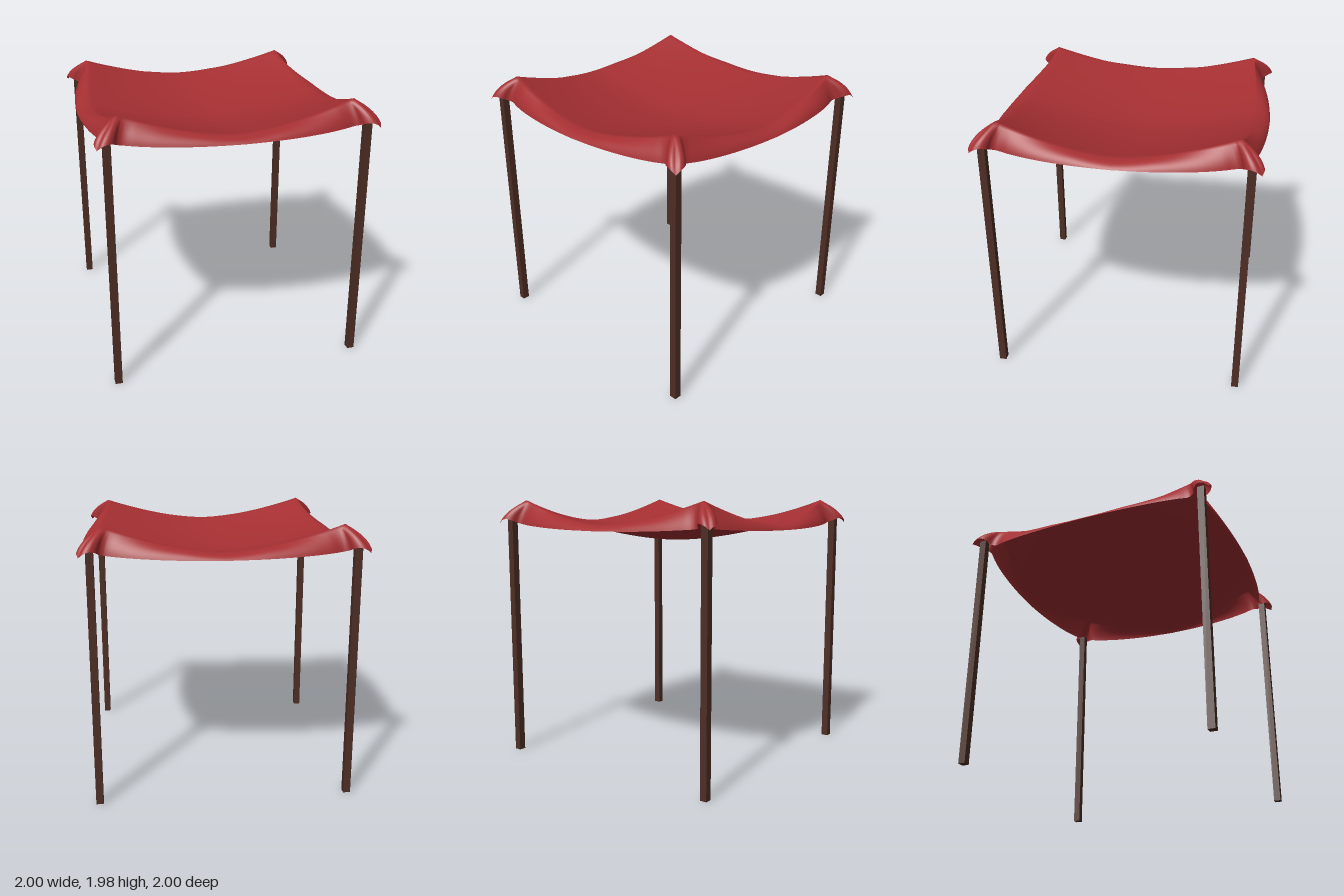
import * as THREE from 'three';

const clothMat = new THREE.MeshStandardMaterial({ color: 0xa52f32, side: THREE.DoubleSide });
clothMat.name = 'red cloth';
const woodMat = new THREE.MeshStandardMaterial({ color: 0x4d2e24 });
woodMat.name = 'dark wood';

// Hem from the middle of a side to the corner tip: along, height, outward
const hem = new THREE.CatmullRomCurve3([
  [0, 1.77, 1.0], [0.22, 1.772, 0.992], [0.42, 1.777, 0.975], [0.6, 1.785, 0.95],
  [0.73, 1.793, 0.922], [0.81, 1.80, 0.9], [0.845, 1.81, 0.915], [0.865, 1.828, 0.955],
  [0.9, 1.838, 0.98], [0.945, 1.825, 0.988], [0.976, 1.80, 0.976],
].map(p => new THREE.Vector3(...p)));
// Matching places along the ridge, 1 being the corner peak
const ridgeAt = [0, 0.25, 0.47, 0.67, 0.82, 0.91, 0.945, 0.965, 0.98, 0.99, 1];

// Sagging top sheet over a, b in -1..1
function sheet(a, b) {
  const p = 1.65, A = Math.abs(a) ** p, B = Math.abs(b) ** p;
  return new THREE.Vector3(
    a * (0.83 + 0.05 * (1 - b * b)),
    1.67 + 0.14 * (A + B) + 0.03 * A * B,
    b * (0.83 + 0.05 * (1 - a * a)));
}

function makeCloth() {
  const perSide = 80, inner = 24, skirt = 10, around = perSide * 4;
  const pos = [0, 1.67, 0], idx = [];
  const up = new THREE.Vector3(0, 1, 0);
  for (let r = 1; r <= inner + skirt; r++) {
    for (let i = 0; i < around; i++) {
      const side = Math.floor(i / perSide);
      const tau = (i % perSide) / perSide * 2 - 1;
      const t = Math.abs(tau), sign = Math.sign(tau) || 1;
      const k = Math.min(Math.floor(t * 10), 9);
      const u = sign * THREE.MathUtils.lerp(ridgeAt[k], ridgeAt[k + 1], t * 10 - k);
      let p;
      if (r <= inner) {
        const s = r / inner;
        p = sheet(u * s, s);
      } else {
        // rounded skirt folding from the ridge down to the hem
        const top = sheet(u, 1), end = hem.getPoint(t);
        end.x *= sign;
        const mid = top.clone().lerp(end, 0.8);
        mid.y = Math.min(top.y, end.y + 0.05 + 0.2 * (top.y - end.y));
        p = new THREE.QuadraticBezierCurve3(top, mid, end).getPoint((r - inner) / skirt);
      }
      p.applyAxisAngle(up, side * Math.PI / 2);
      pos.push(p.x, p.y, p.z);
    }
  }
  for (let i = 0; i < around; i++) {
    const j = (i + 1) % around;
    idx.push(0, 1 + i, 1 + j);
    for (let r = 0; r < inner + skirt - 1; r++) {
      const a = 1 + r * around, b = a + around;
      idx.push(a + i, b + i, b + j, a + i, b + j, a + j);
    }
  }
  const geo = new THREE.BufferGeometry();
  geo.setAttribute('position', new THREE.Float32BufferAttribute(pos, 3));
  geo.setIndex(idx);
  geo.computeVertexNormals();
  return geo;
}

export function createModel() {
  const group = new THREE.Group();
  group.name = 'canopy';

  const cloth = new THREE.Mesh(makeCloth(), clothMat);
  cloth.name = 'cloth';
  group.add(cloth);

  // Four square posts under the corners
  const postGeo = new THREE.BoxGeometry(0.052, 1.845, 0.052);
  for (const x of [-1, 1]) for (const z of [-1, 1]) {
    const post = new THREE.Mesh(postGeo, woodMat);
    post.name = (z > 0 ? 'front' : 'back') + (x > 0 ? 'Left' : 'Right') + 'Post';
    post.position.set(x * 0.907, 0.9225, z * 0.907);
    group.add(post);
  }
  return group;
}
